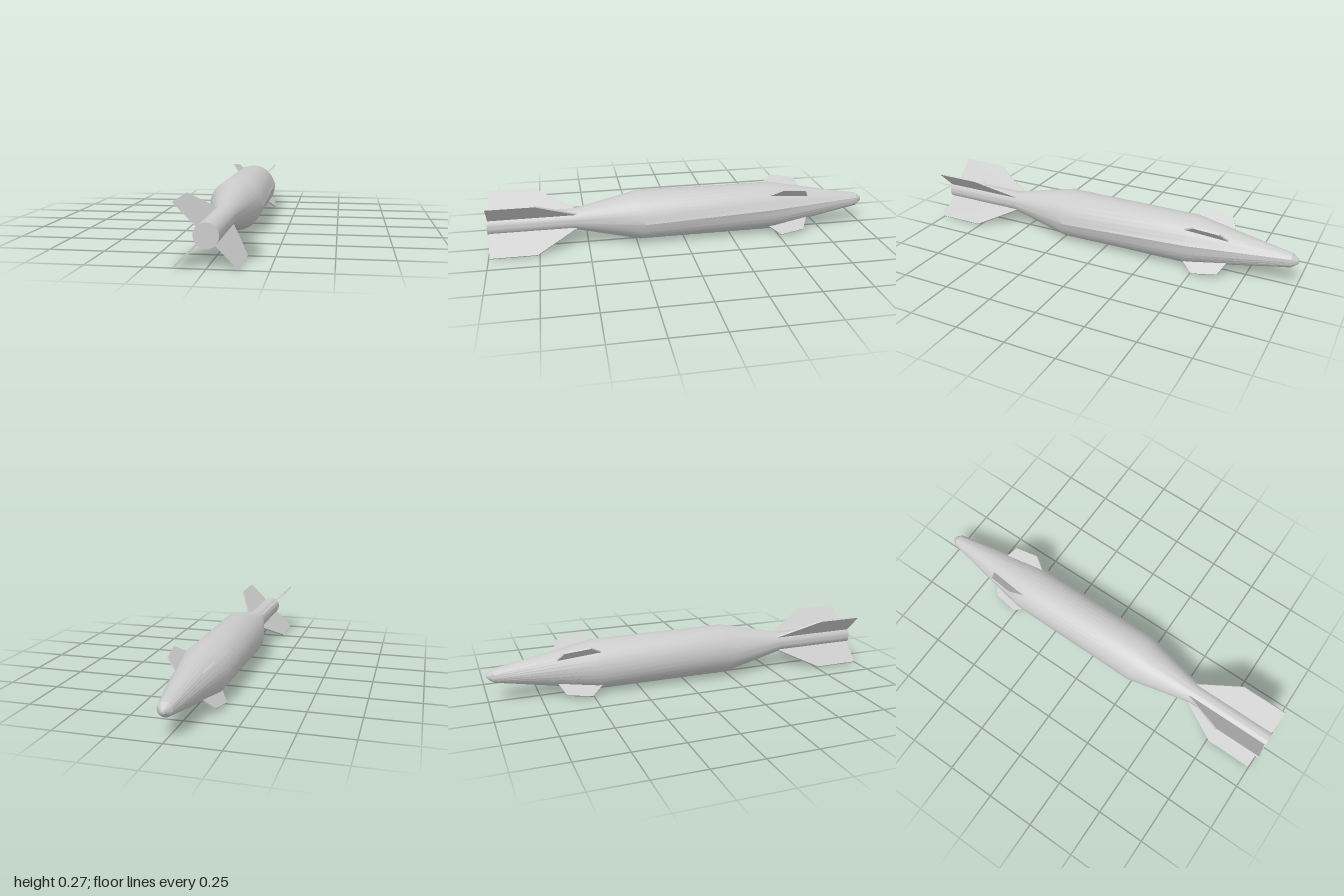
import * as THREE from 'three';
import { toCreasedNormals } from 'three/addons/utils/BufferGeometryUtils.js';

const AXIS_Y = 0.135;
const SIDES = 32;
const material = new THREE.MeshStandardMaterial({ color: 0xcccccc });

// Long turned casing with one raised seam running along its +x side
function createBody() {
  // radius, z, seam angle in radians, seam height
  const rings = [
    [0, -1, 0, 0],
    [0.012, -0.995, 0.5, 0],
    [0.035, -0.965, 0.5, 0.04],
    [0.125, -0.47, 0.15, 0.04],
    [0.128, 0.235, -0.07, 0.045],
    [0.053, 0.57, -0.07, 0],
    [0.053, 1, -0.07, 0],
    [0, 1, -0.07, 0],
  ];
  const profile = rings.map(([r, z]) => new THREE.Vector2(r, z));
  const geometry = new THREE.LatheGeometry(profile, SIDES);
  geometry.rotateX(Math.PI / 2);

  // Twist each ring so the seam follows its slanted line, and lift the seam
  const pos = geometry.attributes.position;
  for (let i = 0; i < pos.count; i++) {
    const [r, z, twist, lift] = rings[i % rings.length];
    const angle = Math.atan2(pos.getY(i), pos.getX(i));
    const onSeam = r > 0 && Math.abs(angle) < 0.05;
    const radius = r * (onSeam ? 1 + lift : 1);
    pos.setXYZ(
      i,
      radius * Math.cos(angle + twist),
      radius * Math.sin(angle + twist),
      onSeam && z === 0.235 ? 0.21 : z,
    );
  }
  const body = new THREE.Mesh(toCreasedNormals(geometry, 0.45), material);
  body.name = 'body';
  return body;
}

// Four flat plates on the diagonals; outline points are [radius, z]
function createFins(name, outline, thickness) {
  const fins = new THREE.Group();
  fins.name = name + 's';
  const shape = new THREE.Shape(outline.map(([r, z]) => new THREE.Vector2(r, z)));
  const geometry = new THREE.ExtrudeGeometry(shape, { depth: thickness, bevelEnabled: false });
  geometry.translate(0, 0, -thickness / 2);
  geometry.rotateX(Math.PI / 2);
  for (let i = 0; i < 4; i++) {
    const fin = new THREE.Mesh(geometry, material);
    fin.name = name;
    fin.rotation.z = Math.PI / 4 + (i * Math.PI) / 2;
    fins.add(fin);
  }
  return fins;
}

export function createModel() {
  const model = new THREE.Group();
  model.name = 'finnedBomb';

  const tailFins = createFins('tailFin', [
    [0.03, 0.555], [0.055, 0.555], [0.185, 0.76], [0.185, 0.995], [0.03, 0.995],
  ], 0.008);

  const noseFins = createFins('noseFin', [
    [0.07, -0.665], [0.09, -0.665], [0.155, -0.635], [0.178, -0.51], [0.124, -0.45], [0.07, -0.45],
  ], 0.008);

  model.add(createBody(), tailFins, noseFins);
  for (const part of model.children) part.position.y = AXIS_Y;
  return model;
}
